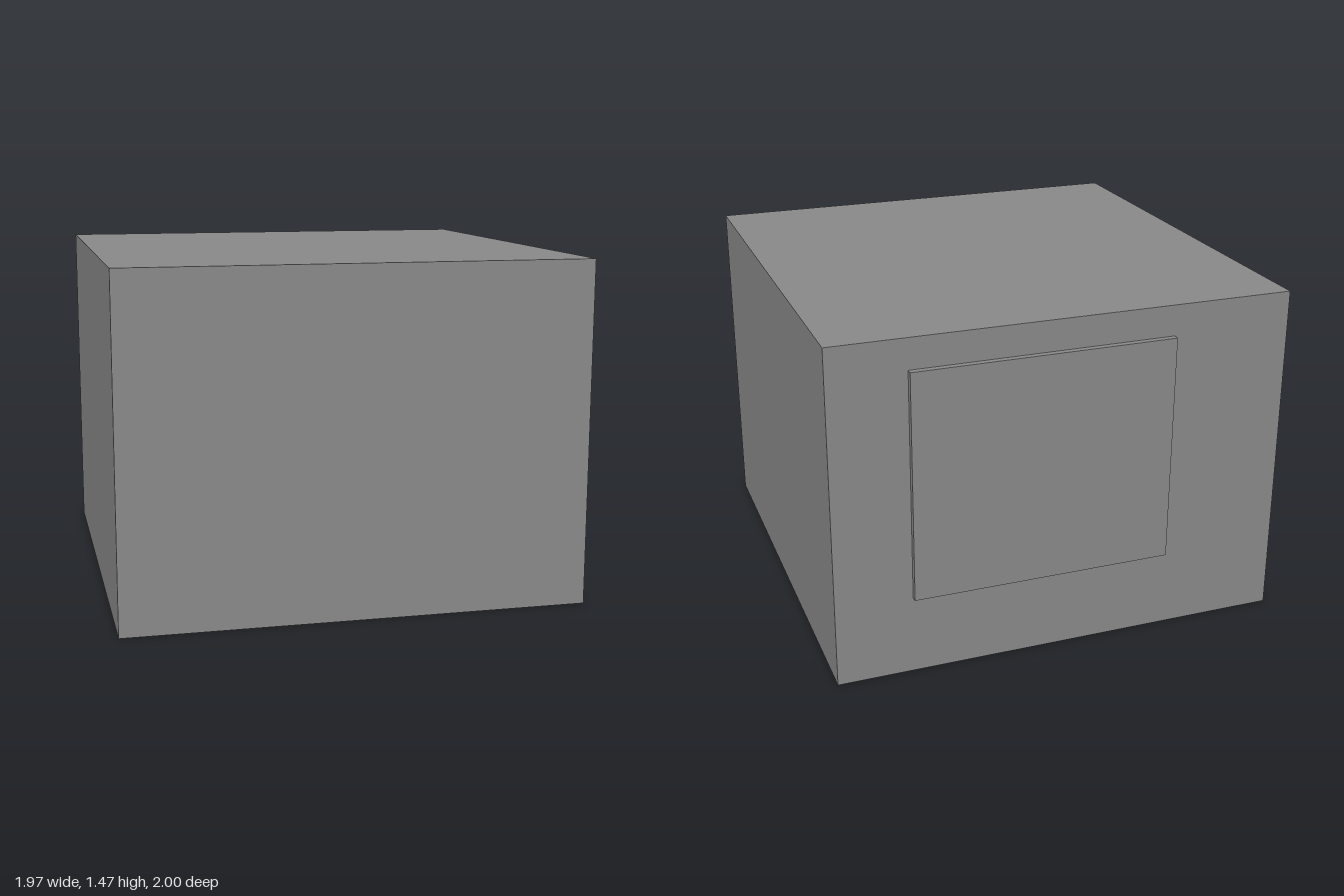
import * as THREE from 'three';

const W = 1.974, H = 1.467, BACK = -0.973, FRONT = 1;
const SIDE_WALL = 0.12, END_WALL = 0.13, ROOF = 0.125;

// Counter-clockwise rectangle for shapes and holes
function rect(PathType, x0, y0, x1, y1) {
  const p = new PathType();
  p.moveTo(x0, y0);
  p.lineTo(x1, y0);
  p.lineTo(x1, y1);
  p.lineTo(x0, y1);
  p.closePath();
  return p;
}

// Extrudes a floor-plan shape upwards from y0 to y1 (shape y becomes -z)
function riseFrom(shape, y0, y1) {
  const g = new THREE.ExtrudeGeometry(shape, { depth: y1 - y0, bevelEnabled: false });
  g.rotateX(-Math.PI / 2);
  g.translate(0, y0, 0);
  return g;
}

export function createModel() {
  const model = new THREE.Group();
  const material = new THREE.MeshStandardMaterial({ color: 0x888888 });

  function add(name, geometry) {
    const mesh = new THREE.Mesh(geometry, material);
    mesh.name = name;
    model.add(mesh);
    return mesh;
  }

  // Four walls around a cavity that is open at the bottom
  const plan = rect(THREE.Shape, -W / 2, -FRONT, W / 2, -BACK);
  plan.holes.push(rect(THREE.Path, -W / 2 + SIDE_WALL, -FRONT + END_WALL, W / 2 - SIDE_WALL, -BACK - END_WALL));
  add('walls', riseFrom(plan, 0, H - ROOF));

  // Closed top
  add('roof', riseFrom(rect(THREE.Shape, -W / 2, -FRONT, W / 2, -BACK), H - ROOF, H));

  // Thin raised panel on the back, off centre
  const panel = add('backPanel', new THREE.BoxGeometry(1.125, 0.99, 1 + BACK));
  panel.position.set(0.097, 0.84, (BACK - 1) / 2);

  return model;
}
